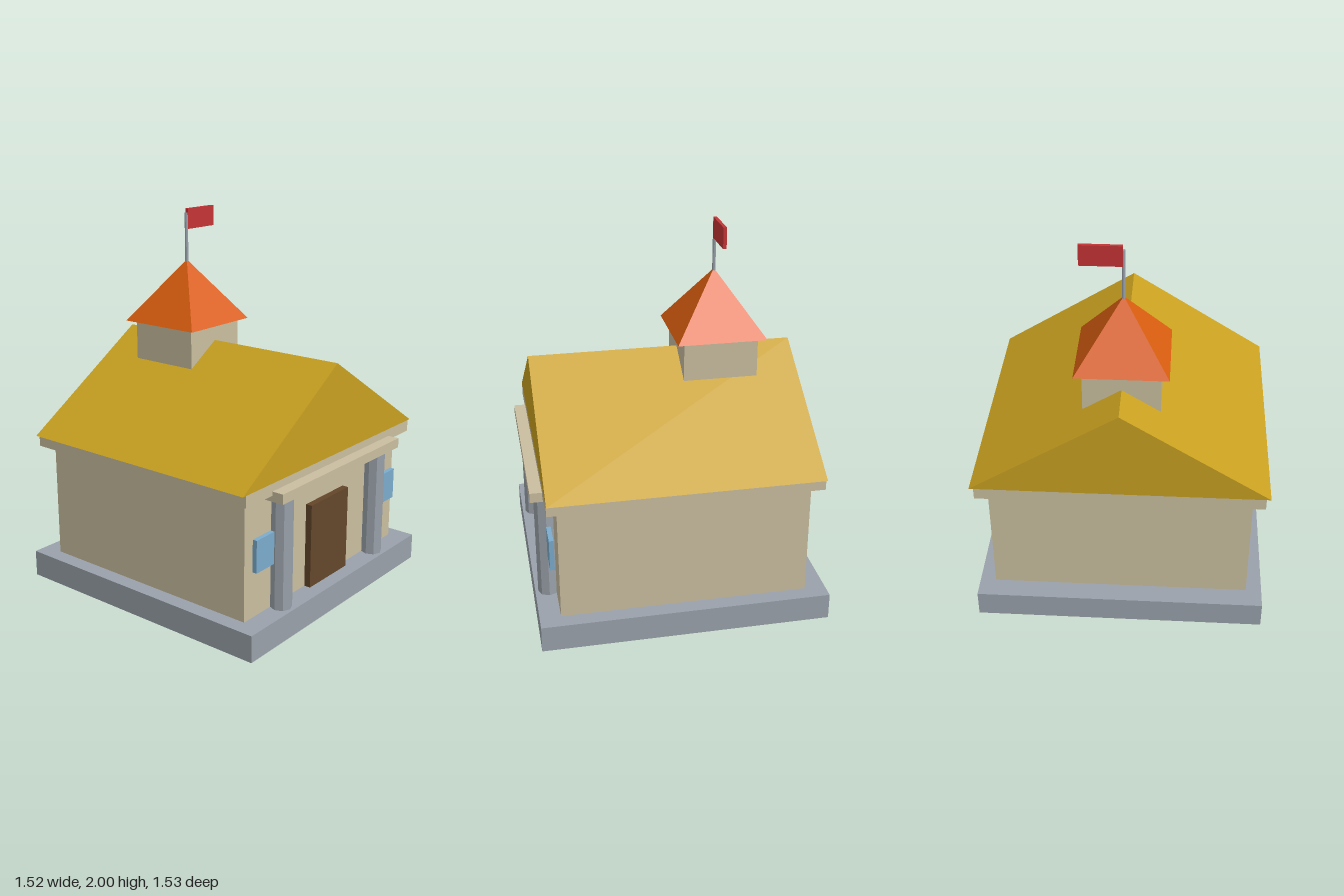
import * as THREE from 'three';

const mat = (name, color) => {
  const m = new THREE.MeshStandardMaterial({ color, flatShading: true });
  m.name = name;
  return m;
};

export function createModel() {
  const group = new THREE.Group();
  const stone = mat('grey stone', 0x99a1aa);
  const wall = mat('cream wall', 0xcabea0);
  const gold = mat('golden roof', 0xc8a020);
  const orange = mat('orange tiles', 0xdb5e10);
  const wood = mat('brown wood', 0x64462a);
  const glass = mat('blue glass', 0x7babcc);
  const red = mat('red cloth', 0xc43335);

  const add = (name, geometry, material, x = 0, y = 0, z = 0) => {
    const mesh = new THREE.Mesh(geometry, material);
    mesh.name = name;
    mesh.position.set(x, y, z);
    group.add(mesh);
    return mesh;
  };
  // Box given by its lower and upper limits on each axis
  const box = (name, material, [x0, x1], [y0, y1], [z0, z1]) =>
    add(name, new THREE.BoxGeometry(x1 - x0, y1 - y0, z1 - z0), material,
      (x0 + x1) / 2, (y0 + y1) / 2, (z0 + z1) / 2);

  // Main building
  box('plinth', stone, [-0.758, 0.758], [0, 0.142], [-0.763, 0.755]);
  box('walls', wall, [-0.675, 0.675], [0.142, 0.77], [-0.652, 0.645]);
  box('cornice', wall, [-0.735, 0.735], [0.768, 0.83], [-0.707, 0.7]);

  // Gabled roof
  const gable = new THREE.Shape();
  gable.moveTo(-0.758, 0.83);
  gable.lineTo(0.758, 0.83);
  gable.lineTo(0, 1.309);
  gable.closePath();
  add('roof', new THREE.ExtrudeGeometry(gable, { depth: 1.407, bevelEnabled: false }),
    gold, 0, 0, -0.707);

  // Front entrance
  box('door', wood, [-0.168, 0.168], [0.142, 0.596], [0.645, 0.68]);
  box('lintel', wall, [-0.532, 0.532], [0.738, 0.79], [0.6, 0.763]);
  for (const [side, s] of [['left', 1], ['right', -1]]) {
    add(side + 'Column', new THREE.CylinderGeometry(0.056, 0.056, 0.598, 8),
      stone, s * 0.424, 0.44, 0.683);
    add(side + 'Window', new THREE.BoxGeometry(0.14, 0.17, 0.024),
      glass, s * 0.562, 0.482, 0.674);
  }

  // Tower with pyramid roof, pole and flag
  const tz = -0.286;
  box('tower', wall, [-0.196, 0.196], [1.1, 1.397], [tz - 0.196, tz + 0.196]);
  const spire = new THREE.ConeGeometry(0.236 * Math.SQRT2, 0.33, 4);
  spire.rotateY(Math.PI / 4);
  add('towerRoof', spire, orange, 0, 1.562, tz);
  add('flagpole', new THREE.CylinderGeometry(0.009, 0.009, 0.28, 8), stone, 0, 1.838, tz);
  box('flag', red, [0.003, 0.217], [1.891, 2], [tz - 0.009, tz + 0.009]);

  return group;
}
